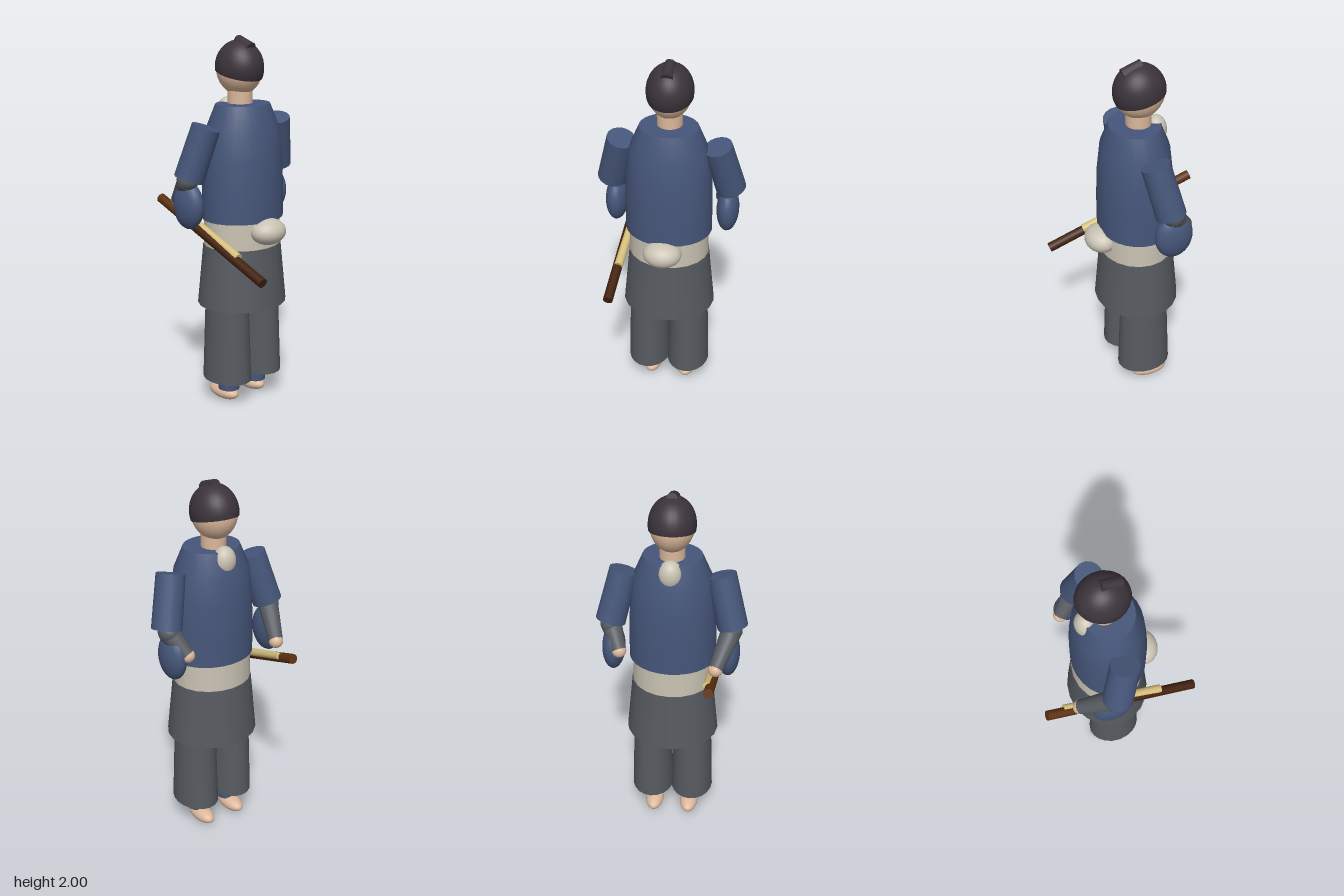
import * as THREE from 'three';

const paint = (name, color) => {
  const m = new THREE.MeshStandardMaterial({ color });
  m.name = name;
  return m;
};

export function createModel() {
  const navy = paint('navy cloth', 0x46567a);
  const gray = paint('gray cloth', 0x565a5f);
  const cream = paint('cream sash', 0xcac3b4);
  const skin = paint('skin', 0xdcb89c);
  const hairMat = paint('hair', 0x3b333a);
  const tan = paint('tan wrap', 0xd6bf7c);
  const brown = paint('brown lacquer', 0x5c300f);
  const darkBrown = paint('dark brown lacquer', 0x42210d);

  const model = new THREE.Group();
  const V = (x, y, z) => new THREE.Vector3(x, y, z);

  const add = (name, geo, mat, pos = V(0, 0, 0)) => {
    const mesh = new THREE.Mesh(geo, mat);
    mesh.name = name;
    mesh.position.copy(pos);
    model.add(mesh);
    return mesh;
  };

  const ellipsoid = (name, mat, pos, rx, ry, rz) =>
    add(name, new THREE.SphereGeometry(1, 24, 16).scale(rx, ry, rz), mat, pos);

  // Upright tapered drum with an elliptical section
  const drum = (name, mat, y0, y1, r0, r1, zScale, x = 0, z = 0) =>
    add(name, new THREE.CylinderGeometry(r1, r0, y1 - y0, 20).scale(1, 1, zScale),
      mat, V(x, (y0 + y1) / 2, z));

  // Tapered rod running from a to b
  const rod = (name, mat, a, b, ra, rb, sides = 16) => {
    const dir = b.clone().sub(a);
    const mesh = add(name, new THREE.CylinderGeometry(rb, ra, dir.length(), sides),
      mat, a.clone().add(b).multiplyScalar(0.5));
    mesh.quaternion.setFromUnitVectors(V(0, 1, 0), dir.normalize());
    return mesh;
  };

  // Feet, ankles and trouser legs
  for (const s of [-1, 1]) {
    ellipsoid('foot', skin, V(s * 0.1, 0.045, -0.04), 0.052, 0.042, 0.106);
    drum('ankle', navy, 0.075, 0.3, 0.058, 0.058, 1.05, s * 0.1, 0);
    drum('trouserLeg', gray, 0.145, 0.62, 0.118, 0.103, 1.26, s * 0.112, 0);
  }

  // Skirt of the robe, sash and knot
  drum('skirt', gray, 0.57, 0.9, 0.252, 0.219, 0.9);
  drum('sash', cream, 0.88, 1.06, 0.216, 0.212, 0.9);
  ellipsoid('sashKnot', cream, V(0, 0.995, 0.2), 0.102, 0.07, 0.087);

  // Jacket with flat ends
  const jacket = [[0.231, 1.045], [0.231, 1.2], [0.224, 1.37], [0.204, 1.53], [0.153, 1.65]]
    .map(([r, y]) => new THREE.Vector2(r, y));
  add('jacket', new THREE.LatheGeometry(jacket, 28).scale(1, 1, 0.86), navy, V(0, 0, 0.005));
  add('jacketTop', new THREE.CircleGeometry(0.153, 28).rotateX(-Math.PI / 2).scale(1, 1, 0.86),
    navy, V(0, 1.65, 0.005));
  add('jacketHem', new THREE.CircleGeometry(0.231, 28).rotateX(Math.PI / 2).scale(1, 1, 0.86),
    navy, V(0, 1.045, 0.005));
  ellipsoid('collarPatch', cream, V(0, 1.597, -0.11), 0.062, 0.077, 0.057);

  // Neck and head
  drum('neck', skin, 1.6, 1.74, 0.066, 0.066, 1, 0, -0.015);
  ellipsoid('head', skin, V(0, 1.83, -0.02), 0.114, 0.14, 0.132);

  // Hair cap, lower at the nape, and topknot
  const cap = new THREE.SphereGeometry(1, 28, 14, 0, Math.PI * 2, 0, Math.PI * 0.575);
  cap.rotateX(0.22).scale(0.121, 0.143, 0.137);
  const hair = hairMat;
  hair.side = THREE.DoubleSide;
  add('hairCap', cap, hair, V(0, 1.833, -0.02));
  rod('topknot', hair, V(0, 1.934, 0.067), V(0, 1.973, -0.033), 0.032, 0.028, 12);

  // Arms: short sleeve, forearm, hanging cuff and hand
  for (const s of [-1, 1]) {
    const elbow = V(s * 0.318, 1.28, -0.06);
    const hand = s < 0 ? V(-0.245, 1.13, -0.24) : V(0.262, 1.16, -0.165);
    rod('upperSleeve', navy, V(s * 0.25, 1.55, 0), elbow, 0.076, 0.08);
    ellipsoid('elbow', gray, V(s * 0.316, 1.27, -0.075), 0.054, 0.054, 0.06);
    rod('forearm', gray, V(s * 0.316, 1.27, -0.07), hand, 0.056, 0.038);
    ellipsoid('hand', skin, hand, 0.038, 0.038, 0.038);
    ellipsoid('hangingCuff', navy, V(s * 0.302, 1.135, -0.085), 0.06, 0.127, 0.103);
  }

  // Sword at the hip: scabbard, handle and lighter companion rod
  const tail = V(-0.246, 0.815, 0.415);
  const tip = V(-0.222, 1.105, -0.415);
  const guard = tail.clone().lerp(tip, 0.62);
  rod('scabbard', darkBrown, tail, guard, 0.026, 0.026);
  rod('swordHandle', brown, guard, tip, 0.026, 0.026);
  rod('companionScabbard', tan, V(-0.232, 0.9, 0.22), V(-0.208, 1.085, -0.32), 0.024, 0.019);

  return model;
}
